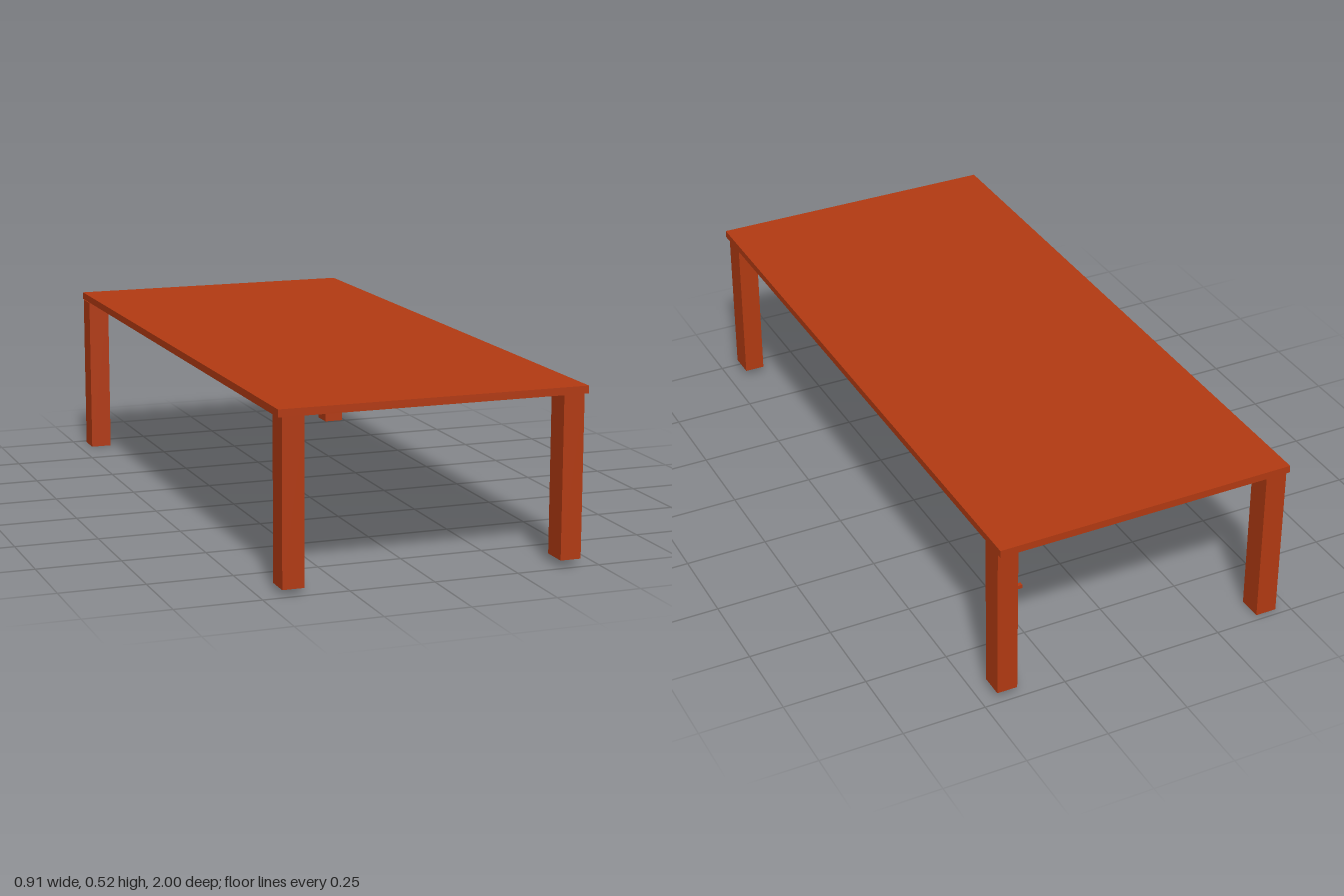
import * as THREE from 'three';

export function createModel() {
  const model = new THREE.Group();
  model.name = 'table';
  const wood = new THREE.MeshStandardMaterial({ color: 0xb23a12, flatShading: true });

  // Box given by its lower and upper limits on each axis
  function block(name, [x0, x1], [y0, y1], [z0, z1]) {
    const mesh = new THREE.Mesh(new THREE.BoxGeometry(x1 - x0, y1 - y0, z1 - z0), wood);
    mesh.position.set((x0 + x1) / 2, (y0 + y1) / 2, (z0 + z1) / 2);
    mesh.name = name;
    model.add(mesh);
  }

  const under = 0.496;
  block('tableTop', [-0.455, 0.455], [under, 0.518], [-1, 1]);

  // Legs: slightly uneven in place and length
  const legs = [
    ['frontLeftLeg', [0.383, 0.445], 0.022, [0.915, 0.995]],
    ['frontRightLeg', [-0.439, -0.375], 0.017, [0.91, 0.985]],
    ['backLeftLeg', [0.393, 0.455], 0.022, [-0.985, -0.913]],
    ['backRightLeg', [-0.458, -0.393], 0, [-0.98, -0.906]],
  ];
  for (const [name, x, foot, z] of legs) block(name, x, [foot, under], z);

  // Small peg on the inner face of one back leg
  block('peg', [0.373, 0.394], [0.35, 0.361], [-0.972, -0.96]);

  return model;
}
